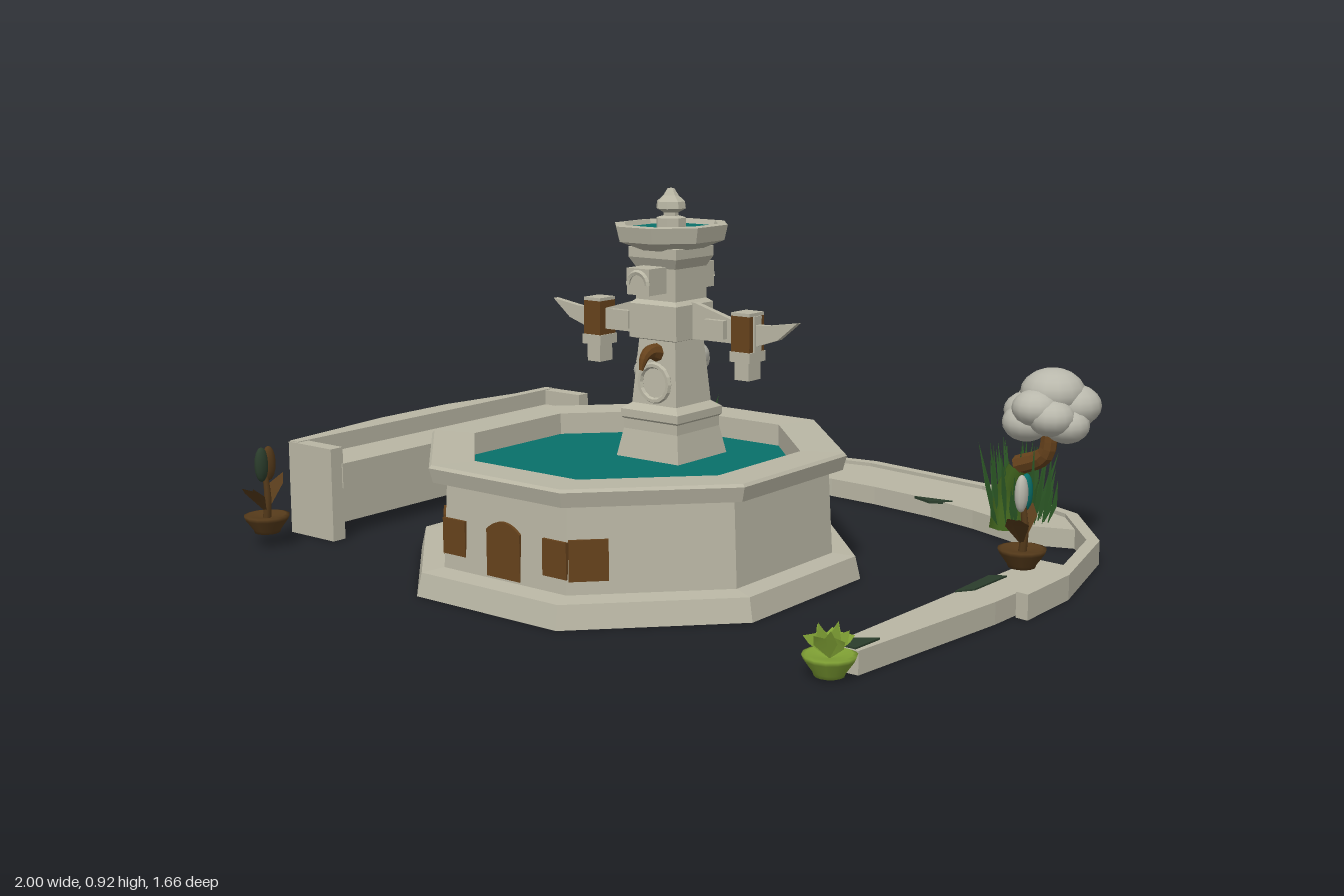
import * as THREE from 'three';
import { mergeGeometries } from 'three/addons/utils/BufferGeometryUtils.js';

const V = (x, y, z) => new THREE.Vector3(x, y, z);
const mat = (name, color, opts = {}) => {
  const m = new THREE.MeshStandardMaterial({ color, ...opts });
  m.name = name;
  return m;
};

export function createModel() {
  const root = new THREE.Group();
  root.name = 'fountainGarden';
  const stone = mat('stone', 0xb9b6a4, { flatShading: true, side: THREE.DoubleSide });
  const water = mat('water', 0x08706a);
  const brown = mat('rustBrown', 0x66421c, { flatShading: true });
  const darkBrown = mat('darkBrown', 0x553a1a, { side: THREE.DoubleSide });
  const foliage = mat('paleFoliage', 0xb9b8ac);
  const trunkGreen = mat('mossGreen', 0x44691f);
  const grassGreen = mat('grassGreen', 0x2a5524, { side: THREE.DoubleSide });
  const lime = mat('limeGreen', 0x7fa034, { side: THREE.DoubleSide });
  const moss = mat('darkMoss', 0x2b3d2c);

  let seed = 7;
  const rand = (a, b) => {
    seed = (seed * 16807) % 2147483647;
    return a + (b - a) * (seed / 2147483647);
  };
  const add = (name, geo, material, parent = root) => {
    const m = new THREE.Mesh(geo, material);
    m.name = name;
    parent.add(m);
    return m;
  };
  const box = (name, x0, x1, y0, y1, z0, z1, material, parent) =>
    add(name, new THREE.BoxGeometry(x1 - x0, y1 - y0, z1 - z0)
      .translate((x0 + x1) / 2, (y0 + y1) / 2, (z0 + z1) / 2), material, parent);
  // Faceted turning: radii are measured to the flat sides
  const turned = (sides, profile) => new THREE.LatheGeometry(
    profile.map(([r, y]) => new THREE.Vector2(r / Math.cos(Math.PI / sides), y)), sides, Math.PI / sides);
  const pool = (r, y) => new THREE.CircleGeometry(r / Math.cos(Math.PI / 8), 8, Math.PI / 8)
    .rotateX(-Math.PI / 2).translate(0, y, 0);
  // Upright slab from an x/z outline
  const slab = (pts, y0, y1) => new THREE.ExtrudeGeometry(
    new THREE.Shape(pts.map(([x, z]) => new THREE.Vector2(x, -z))), { depth: y1 - y0, bevelEnabled: false })
    .rotateX(-Math.PI / 2).translate(0, y0, 0);
  // Tube whose radius runs from r0 to r1
  const horn = (pts, r0, r1, n = 10, sides = 8) => {
    const curve = new THREE.CatmullRomCurve3(pts);
    const g = new THREE.TubeGeometry(curve, n, 1, sides);
    const p = g.attributes.position;
    for (let i = 0; i < p.count; i++) {
      const t = Math.floor(i / (sides + 1)) / n, c = curve.getPointAt(t);
      const v = V().fromBufferAttribute(p, i).sub(c).multiplyScalar(r0 + (r1 - r0) * t).add(c);
      p.setXYZ(i, v.x, v.y, v.z);
    }
    return g;
  };
  // Bent leaf running through three points
  const leaf = (a, b, c, w) => {
    const s = V().subVectors(c, a).cross(V(0.31, 0.2, 0.87)).normalize().multiplyScalar(w / 2);
    const pts = [a, b.clone().add(s), b.clone().sub(s), c];
    const g = new THREE.BufferGeometry().setFromPoints(pts);
    g.setIndex([0, 1, 2, 1, 3, 2]);
    g.computeVertexNormals();
    return g;
  };

  // Basin
  const basin = new THREE.Group();
  basin.name = 'basin';
  basin.position.z = 0.285;
  basin.scale.x = 0.985;
  root.add(basin);
  add('basinWall', turned(8, [[0, 0], [0.53, 0], [0.518, 0.055], [0.465, 0.06], [0.455, 0.262], [0.487, 0.265],
    [0.496, 0.3], [0.49, 0.307], [0.39, 0.305], [0.39, 0.24]]), stone, basin);
  add('basinWater', pool(0.392, 0.25), water, basin);
  // Rust panels: an arched one in front and two wrapping the corners
  const arch = new THREE.Shape();
  arch.moveTo(-0.052, 0.065).lineTo(0.052, 0.065).lineTo(0.052, 0.175)
    .quadraticCurveTo(0, 0.22, -0.052, 0.175);
  add('archPanel', new THREE.ExtrudeGeometry(arch, { depth: 0.007, bevelEnabled: false })
    .translate(0, 0, 0.459), brown, basin);
  for (const s of [-1, 1]) {
    box('cornerPanel', s * 0.158 - 0.036, s * 0.158 + 0.036, 0.095, 0.18, 0.457, 0.466, brown, basin);
    const p = box('cornerPanel', -0.045, 0.045, 0.09, 0.185, 0.457, 0.465, brown, basin);
    p.rotation.y = s * Math.PI / 4;
    p.position.set(-s * 0.1, 0, 0.1);
  }

  // Tower
  const tower = new THREE.Group();
  tower.name = 'tower';
  tower.position.z = 0.135;
  root.add(tower);
  add('shaft', turned(4, [[0.1, 0.24], [0.085, 0.32], [0.085, 0.345], [0.09, 0.35], [0.09, 0.37], [0.07, 0.385],
    [0.057, 0.545], [0.074, 0.55], [0.074, 0.635], [0.062, 0.645], [0.062, 0.725], [0.075, 0.75],
    [0.075, 0.775], [0, 0.78]]), stone, tower);
  add('topBowl', turned(8, [[0.06, 0.765], [0.105, 0.785], [0.122, 0.792], [0.13, 0.83], [0.108, 0.832],
    [0.1, 0.81]]), stone, tower).scale.z = 1.12;
  add('topBowlWater', pool(0.104, 0.82), water, tower).scale.z = 1.12;
  add('finial', turned(8, [[0.035, 0.815], [0.035, 0.845], [0.018, 0.85], [0.018, 0.858], [0.035, 0.868],
    [0.033, 0.885], [0.018, 0.9], [0.008, 0.917], [0, 0.918]]), stone, tower);
  box('crossBlock', -0.035, 0.035, 0.665, 0.73, -0.13, 0.13, stone, tower);
  for (const s of [-1, 1]) {
    // Side wing with hanging lantern
    const wing = new THREE.Shape([[0.05, 0.55], [0.27, 0.55], [0.33, 0.57], [0.385, 0.615], [0.3, 0.602],
      [0.22, 0.6], [0.08, 0.64], [0.05, 0.64]].map(([x, y]) => new THREE.Vector2(s * x, y)));
    add('wing', new THREE.ExtrudeGeometry(wing, { depth: 0.018, bevelEnabled: false })
      .translate(0, 0, -0.009), stone, tower);
    const lantern = new THREE.Group();
    lantern.name = 'lantern';
    lantern.position.x = s * 0.235;
    tower.add(lantern);
    box('lanternBody', -0.027, 0.027, 0.535, 0.622, -0.03, 0.03, brown, lantern);
    box('lanternSide', s * 0.028 - 0.003, s * 0.028 + 0.003, 0.535, 0.622, -0.015, 0.015, stone, lantern);
    box('lanternCap', -0.027, 0.027, 0.622, 0.63, -0.03, 0.03, stone, lantern);
    box('lanternCollar', -0.03, 0.03, 0.51, 0.535, -0.033, 0.033, stone, lantern);
    box('lanternFoot', -0.021, 0.021, 0.465, 0.51, -0.024, 0.024, stone, lantern);
    box('wingBracket', s * 0.15 - 0.03, s * 0.15 + 0.03, 0.56, 0.605, -0.025, 0.025, stone, tower);
    // Curved spout, ring and arch on the front and back
    add('spout', horn([V(0, 0.515, s * 0.055), V(0, 0.52, s * 0.085), V(0, 0.508, s * 0.107), V(0, 0.478, s * 0.12)],
      0.024, 0.005), brown, tower);
    add('ring', new THREE.TorusGeometry(0.045, 0.008, 6, 16).translate(0, 0.44, s * 0.068), stone, tower);
    add('arch', new THREE.TorusGeometry(0.03, 0.007, 5, 10, Math.PI).translate(0, 0.69, s * 0.13), stone, tower);
  }

  // Curved border with a planted ledge
  const lip = [[-0.9, -0.25], [-0.904, -0.465], [-0.43, -0.765], [0, -0.83], [0.417, -0.77], [0.754, -0.615],
    [0.92, -0.4], [0.998, -0.08], [0.998, 0.12]];
  const inner = lip.map(([x, z]) => {
    const k = 1 - 0.032 / Math.hypot(x, z);
    return [x * k, z * k];
  }).reverse();
  add('borderLip', slab([...lip, ...inner], 0, 0.06), stone);
  add('plantedLedge', slab([[-0.66, -0.6], [-0.43, -0.745], [0, -0.81], [0.41, -0.75], [0.74, -0.595], [0.82, -0.5],
    [0.67, -0.45], [0.5, -0.515], [0.35, -0.555], [0.15, -0.585], [0, -0.595], [-0.25, -0.59], [-0.476, -0.57]],
  0, 0.05), stone);
  add('sideLedge', slab([[0.86, -0.18], [0.97, -0.17], [0.955, 0.19], [0.9, 0.66], [0.83, 0.66], [0.845, 0.2]],
    0, 0.052), stone);
  add('mossPatch', slab([[0.845, 0.02], [0.88, 0.0], [0.875, 0.14], [0.847, 0.18]], 0.05, 0.056), moss);
  add('mossPatch', slab([[0.84, 0.61], [0.895, 0.57], [0.89, 0.655], [0.833, 0.655]], 0.05, 0.056), moss);
  add('mossPatch', slab([[0.3, -0.55], [0.41, -0.565], [0.39, -0.54], [0.36, -0.525]], 0.046, 0.053), moss);

  // Bench with a bowed, leaning back and a raised seat between two ends
  const bench = new THREE.Group();
  bench.name = 'bench';
  root.add(bench);
  const back = slab([[-0.905, -0.39], [-0.905, -0.25], [-1, -0.01], [-1, 0.24], [-0.905, 0.6], [-0.875, 0.6],
    [-0.875, -0.39]], 0, 0.245);
  const bp = back.attributes.position;
  for (let i = 0; i < bp.count; i++) if (bp.getY(i) > 0.1 && bp.getX(i) < -0.95) bp.setX(i, -0.945);
  add('benchBack', back, stone, bench);
  box('benchSeat', -0.885, -0.738, 0.135, 0.2, -0.36, 0.57, stone, bench);
  for (const z of [-0.395, 0.565]) box('benchEnd', -0.905, -0.742, 0, 0.243, z, z + 0.04, stone, bench);

  // Trees: bent trunk, grass tuft and lumpy crown
  const tree = (crown, size, path, topMat, grass, height) => {
    const g = new THREE.Group();
    g.name = 'tree';
    root.add(g);
    add('trunkBase', horn(path.slice(0, 3), 0.052, 0.026), trunkGreen, g);
    add('trunkTop', horn(path.slice(2), 0.026, 0.02), topMat, g);
    const lumps = [new THREE.SphereGeometry(0.075, 14, 10).scale(1, 0.75, 1).translate(0.005, 0.034, 0)];
    for (let i = 0; i < 9; i++) {
      const a = i * Math.PI * 2 / 9 + 0.3, r = rand(0.046, 0.064);
      lumps.push(new THREE.SphereGeometry(r, 14, 10).scale(1, 0.78, 1)
        .translate(Math.cos(a) * 0.054, (i % 3) * 0.02 - 0.035, Math.sin(a) * 0.06));
    }
    const c = add('crown', mergeGeometries(lumps), foliage, g);
    c.position.copy(crown);
    c.scale.set(...size);
    const blades = [];
    for (let i = 0; i < 64; i++) {
      const a = rand(0, 6.28), r = rand(0.02, 0.1), h = rand(0.07, height), dx = Math.cos(a), dz = Math.sin(a);
      const at = (k, y) => V(grass.x + dx * k, y, grass.z + dz * k * 0.8);
      blades.push(leaf(at(r * 0.8, 0.04), at(r, 0.04 + h * 0.45), at(r + rand(0.005, 0.035), 0.04 + h), 0.013));
    }
    add('grass', mergeGeometries(blades), grassGreen, g);
  };
  tree(V(-0.58, 0.345, -0.59), [0.98, 1, 1.15], [V(-0.56, 0.03, -0.61), V(-0.555, 0.13, -0.61), V(-0.525, 0.21, -0.61),
    V(-0.53, 0.25, -0.6), V(-0.58, 0.31, -0.59)], trunkGreen, V(-0.57, 0, -0.63), 0.19);
  tree(V(0.74, 0.365, -0.47), [1.08, 1.1, 1.12], [V(0.62, 0.03, -0.49), V(0.62, 0.12, -0.49), V(0.65, 0.2, -0.48),
    V(0.73, 0.24, -0.47), V(0.74, 0.33, -0.47)], brown, V(0.64, 0, -0.5), 0.23);

  // Potted plants
  const pot = (name, x, y, z, potMat) => {
    const g = new THREE.Group();
    g.name = name;
    g.position.set(x, y, z);
    root.add(g);
    add('bowl', new THREE.LatheGeometry([[0, 0], [0.032, 0], [0.035, 0.008], [0.054, 0.035], [0.058, 0.045], [0.048, 0.047],
      [0, 0.036]].map(([r, h]) => new THREE.Vector2(r, h)), 14), potMat, g);
    return g;
  };
  const flower = (g, turn, reach, tint) => {
    add('stem', horn([V(0, 0.03, 0), V(0.006, 0.09, 0), V(0, 0.15, 0)], 0.011, 0.007), darkBrown, g);
    const arms = [0, 1, 2].map((i) => {
      const a = turn + i * Math.PI * 0.95, at = (k, y) => V(Math.cos(a) * k, y, Math.sin(a) * k);
      return leaf(at(0, 0.05), at(reach * 0.6, 0.115), at(reach, 0.135), 0.04);
    });
    add('leaves', mergeGeometries(arms), darkBrown, g);
    const bud = (z) => new THREE.SphereGeometry(1, 10, 8).scale(0.015, 0.045, 0.02).translate(0, 0.178, z);
    add('bud', bud(0.011), tint[0], g);
    add('budBack', bud(-0.012), tint[1], g);
  };
  flower(pot('frontPot', -0.85, 0.035, 0.73, darkBrown), 1.3, 0.1, [moss, darkBrown]);
  flower(pot('sidePot', 0.87, 0.055, -0.09, darkBrown), 1.5, 0.09, [foliage, water]);
  const succulent = pot('greenPot', 0.86, 0.005, 0.705, lime);
  const fronds = [];
  for (let i = 0; i < 11; i++) {
    const a = i * 2.4, k = 0.02 + 0.004 * i, at = (r, y) => V(Math.cos(a) * r, y, Math.sin(a) * r);
    fronds.push(leaf(at(0, 0.035), at(k * 0.6, 0.075), at(k, 0.115 - 0.004 * i), 0.03));
  }
  add('fronds', mergeGeometries(fronds), lime, succulent);
  return root;
}
